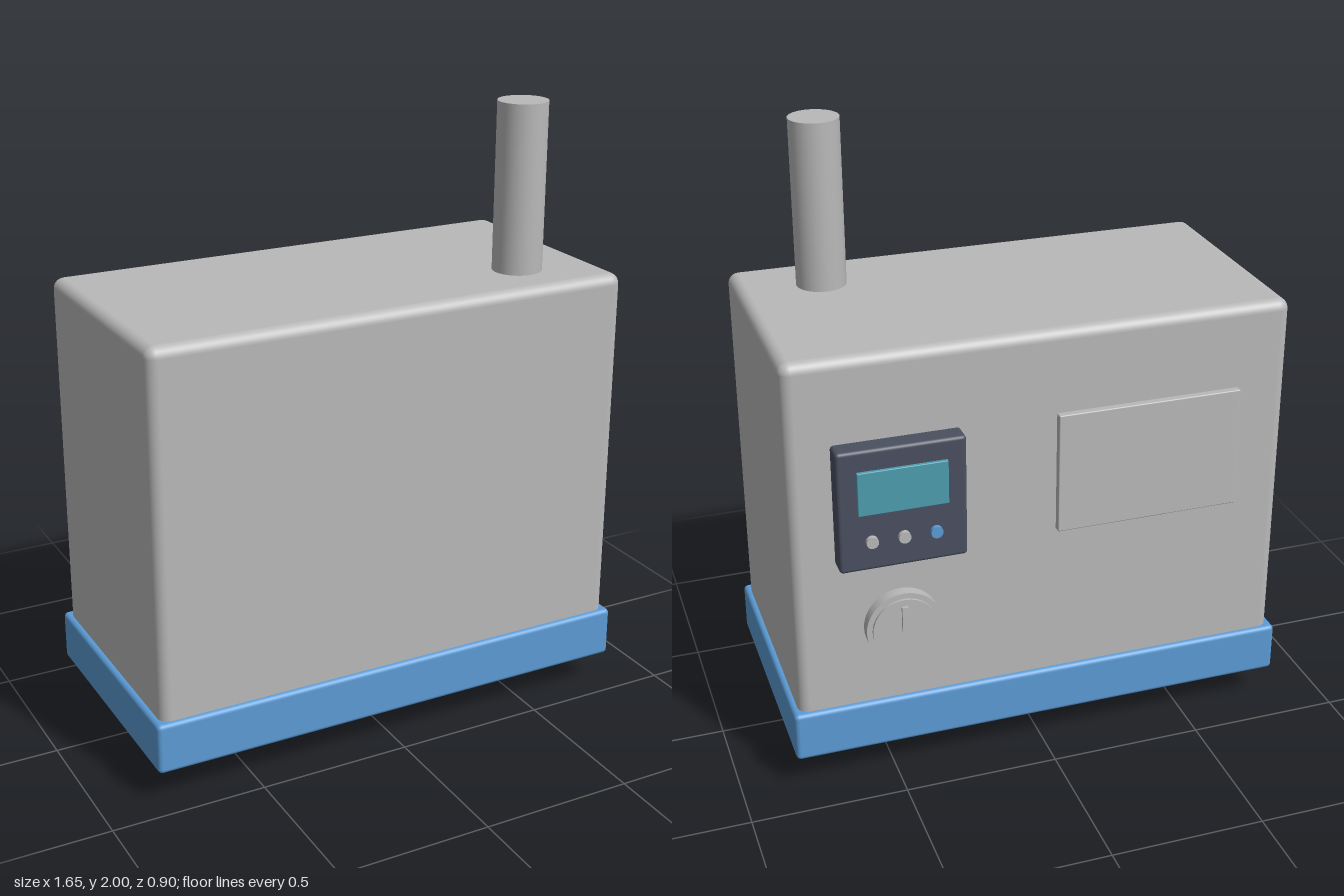
import * as THREE from 'three';
import { RoundedBoxGeometry } from 'three/addons/geometries/RoundedBoxGeometry.js';

export function createModel() {
  const model = new THREE.Group();
  model.name = 'controlBox';

  const paint = (name, color) => {
    const m = new THREE.MeshStandardMaterial({ color });
    m.name = name;
    return m;
  };
  const grey = paint('casingGrey', 0xb9b9ba);
  const blue = paint('baseBlue', 0x5b9bd5);
  const slate = paint('panelSlate', 0x4a5060);
  const teal = paint('screenTeal', 0x4e9db0);

  const add = (name, geometry, material, x, y, z) => {
    const mesh = new THREE.Mesh(geometry, material);
    mesh.name = name;
    mesh.position.set(x, y, z);
    model.add(mesh);
    return mesh;
  };
  // Rounded box given by its extents on each axis
  const block = (name, material, [x0, x1], [y0, y1], [z0, z1], r) =>
    add(name, new RoundedBoxGeometry(x1 - x0, y1 - y0, z1 - z0, 4, r), material,
      (x0 + x1) / 2, (y0 + y1) / 2, (z0 + z1) / 2);
  // Disc lying against the back wall, between two z values
  const disc = (name, material, radius, x, y, z0, z1) => {
    const g = new THREE.CylinderGeometry(radius, radius, Math.abs(z1 - z0), 40).rotateX(Math.PI / 2);
    return add(name, g, material, x, y, (z0 + z1) / 2);
  };

  // Casing and blue base tray
  block('casing', grey, [-0.807, 0.807], [0.2, 1.46], [-0.374, 0.437], 0.035);
  block('base', blue, [-0.826, 0.826], [0.111, 0.278], [-0.391, 0.453], 0.015);

  // Chimney pipe
  add('pipe', new THREE.CylinderGeometry(0.08, 0.08, 0.56, 48), grey, 0.54, 1.72, 0.233);

  // Dome and pin under the base
  const dome = new THREE.SphereGeometry(0.06, 32, 12, 0, Math.PI * 2, Math.PI / 2, Math.PI / 2);
  add('bottomDome', dome, grey, 0, 0.111, 0.031);
  add('bottomPin', new THREE.CylinderGeometry(0.018, 0.018, 0.08, 20), slate, 0, 0.04, 0.031);

  // Control panel with screen and three buttons
  const px = 0.47;
  block('controlPanel', slate, [px - 0.2, px + 0.2], [0.788, 1.19], [-0.437, -0.36], 0.012);
  block('screen', teal, [px - 0.14, px + 0.14], [0.98, 1.123], [-0.448, -0.425], 0.003);
  [blue, grey, grey].forEach((material, i) =>
    disc('button', material, 0.019, px + (i - 1) * 0.1, 0.888, -0.43, -0.452));

  // Round lock: stepped disc with a raised key bar
  disc('lockRing', grey, 0.12, px, 0.55, -0.36, -0.41);
  disc('lockFace', grey, 0.102, px, 0.55, -0.4, -0.419);
  add('lockBar', new THREE.BoxGeometry(0.02, 0.085, 0.02), grey, px, 0.587, -0.419);

  // Blank cover plate
  block('coverPlate', grey, [-0.64, -0.037], [0.788, 1.188], [-0.397, -0.365], 0.004);

  return model;
}
